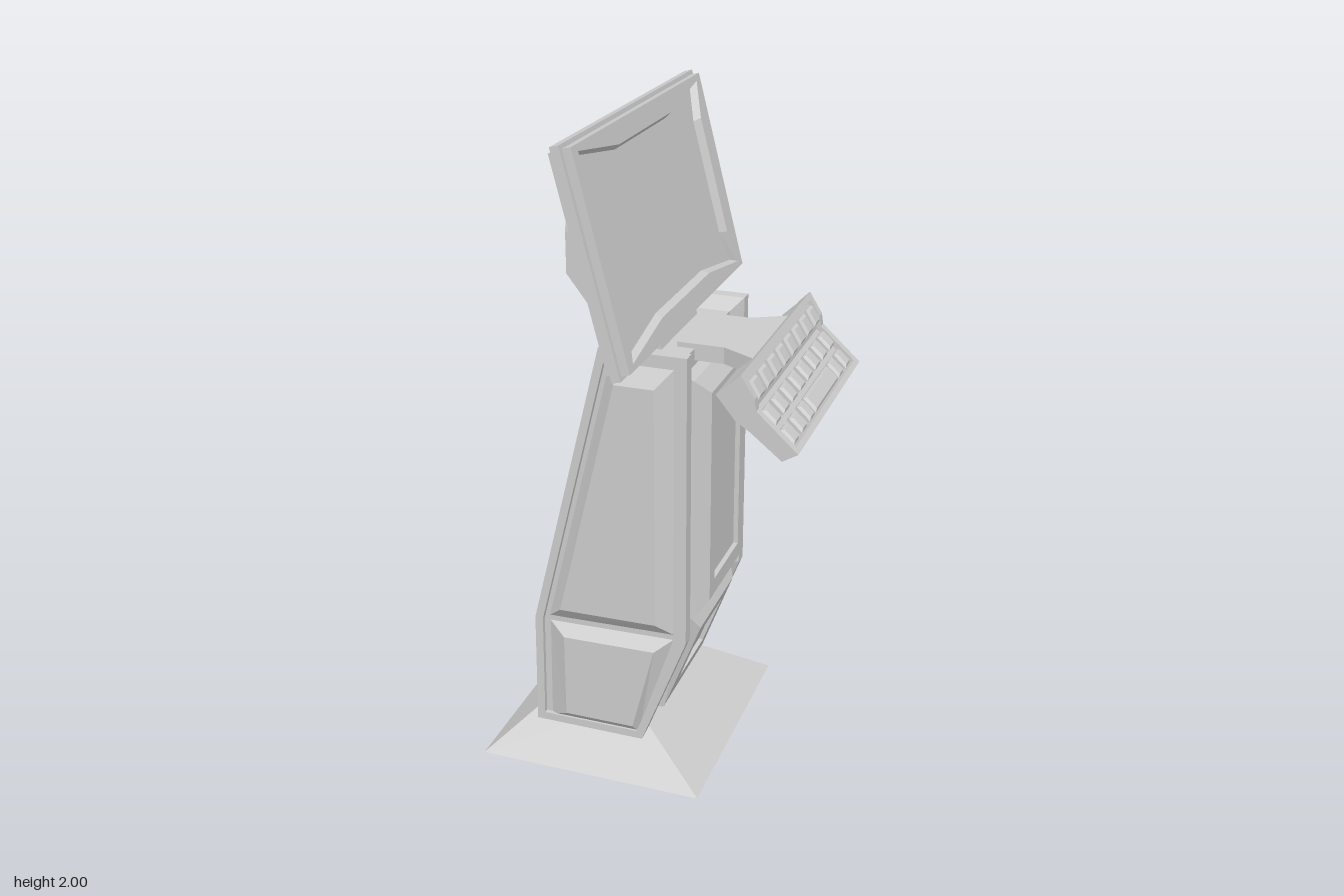
import * as THREE from 'three';

const material = new THREE.MeshStandardMaterial({ color: 0xcccccc, flatShading: true });

function addMesh(parent, name, geometry) {
  const mesh = new THREE.Mesh(geometry, material);
  mesh.name = name;
  parent.add(mesh);
  return mesh;
}

// Skin a stack of counter-clockwise outlines [points, height] and cap both ends
function loft(layers, mirror = false) {
  const out = [];
  const rings = layers.map(([pts, h]) => pts.map(([x, y]) => [x, y, mirror ? -h : h]));
  const tri = (a, b, c) => (mirror ? out.push(...a, ...c, ...b) : out.push(...a, ...b, ...c));
  const middle = (ring) => [0, 1, 2].map((k) => ring.reduce((s, p) => s + p[k], 0) / ring.length);
  const n = rings[0].length, first = rings[0], last = rings[rings.length - 1];
  const c0 = middle(first), c1 = middle(last);
  for (let i = 0; i < n; i++) {
    const j = (i + 1) % n;
    tri(c0, first[j], first[i]);
    tri(c1, last[i], last[j]);
    for (let r = 0; r + 1 < rings.length; r++) {
      const a = rings[r], b = rings[r + 1];
      tri(a[i], a[j], b[j]);
      tri(a[i], b[j], b[i]);
    }
  }
  const g = new THREE.BufferGeometry();
  g.setAttribute('position', new THREE.Float32BufferAttribute(out, 3));
  g.computeVertexNormals();
  return g;
}

// Move every edge of a convex outline inwards by d
function inset(pts, d) {
  const n = pts.length;
  const lines = pts.map(([x, y], i) => {
    const [x2, y2] = pts[(i + 1) % n];
    const l = Math.hypot(x2 - x, y2 - y);
    const nx = -(y2 - y) / l, ny = (x2 - x) / l;
    return [nx, ny, nx * x + ny * y + d];
  });
  return pts.map((_, i) => {
    const [a, b, c] = lines[(i + n - 1) % n], [e, f, g] = lines[i];
    const det = a * f - b * e;
    return [(c * f - b * g) / det, (a * g - c * e) / det];
  });
}

const rect = (x0, x1, y0, y1) => [[x0, y0], [x1, y0], [x1, y1], [x0, y1]];

function extrude(pts, depth) {
  const shape = new THREE.Shape(pts.map(([x, y]) => new THREE.Vector2(x, y)));
  return new THREE.ExtrudeGeometry(shape, { depth, bevelEnabled: false });
}

// Turn a part so that its local z faces +x, pitched up by tilt
function face(object, x, y, z, tilt) {
  object.rotation.set(0, Math.PI / 2, tilt, 'ZYX');
  object.position.set(x, y, z);
  return object;
}

function buildPedestal(group) {
  const foot = addMesh(group, 'footPlate', loft([
    [rect(-0.49, 0.22, -0.39, 0.39), 0], [rect(-0.3, -0.06, -0.2, 0.2), 0.17]]));
  foot.rotation.x = -Math.PI / 2;

  const side = [[-0.345, 0.1], [0.005, 0.1], [0.147, 0.47], [0.147, 1.38], [-0.115, 1.38], [-0.34, 0.47]];
  const inner = inset(side, 0.035);
  addMesh(group, 'column', loft([[inner, -0.22], [inner, 0.22]]));

  // Raised cushions within the rim of each side wall
  const lower = [[-0.31, 0.11], [-0.01, 0.11], [0.112, 0.475], [-0.305, 0.465]];
  const lowerFace = [[-0.24, 0.15], [-0.02, 0.15], [0.05, 0.43], [-0.24, 0.425]];
  const upper = [[-0.305, 0.47], [0.112, 0.48], [0.112, 1.345], [-0.09, 1.345]];
  const upperFace = [[-0.25, 0.52], [0.055, 0.525], [0.055, 1.28], [-0.065, 1.28]];
  for (const mirror of [false, true]) {
    const wall = new THREE.Group();
    wall.name = mirror ? 'rightSideWall' : 'leftSideWall';
    group.add(wall);
    const rim = inset(side, 0.025);
    addMesh(wall, 'wallFrame', loft(
      [[inner, 0.21], [side, 0.25], [side, 0.29], [rim, 0.29], [rim, 0.275]], mirror));
    addMesh(wall, 'lowerCushion', loft([[lower, 0.27], [lowerFace, 0.305]], mirror));
    addMesh(wall, 'upperCushion', loft([[upper, 0.27], [upperFace, 0.305]], mirror));
  }

  // Front panels with sunken centres
  const door = rect(-0.12, 0.12, 0.61, 1.19);
  face(addMesh(group, 'upperFrontPanel', loft([
    [rect(-0.21, 0.21, 0.5, 1.3), 0.1], [rect(-0.205, 0.205, 0.51, 1.28), 0.14],
    [rect(-0.165, 0.165, 0.56, 1.235), 0.18], [door, 0.18], [door, 0.165]])), 0, 0, 0, 0);
  const hatch = rect(-0.117, 0.117, -0.09, 0.09);
  face(addMesh(group, 'lowerFrontPanel', loft([
    [rect(-0.208, 0.208, -0.18, 0.2), -0.04],
    [[[-0.195, -0.16], [0.195, -0.16], [0.165, 0.15], [-0.165, 0.15]], 0.01],
    [hatch, 0.01], [hatch, -0.003]])), 0.09, 0.32, 0, -0.362);
}

function buildScreen(group) {
  // Rounded-top neck that bends back and up behind the screen
  const rows = [[1.33, -0.11, 0.03, 0.16], [1.37, -0.13, 0.02, 0.16], [1.54, -0.26, -0.085, 0.16]];
  for (let i = 0; i <= 12; i++) {
    const a = (i / 12) * 1.5;
    rows.push([1.66 + 0.11 * Math.sin(a), -0.26, -0.085, 0.16 * Math.cos(a)]);
  }
  const neck = addMesh(group, 'screenNeck', loft(rows.map(([y, xb, xf, w]) => [rect(xb, xf, -w, w), y])));
  neck.rotation.x = -Math.PI / 2;

  const screen = face(new THREE.Group(), -0.045, 1.69, 0, 0.25);
  screen.name = 'screen';
  group.add(screen);
  // Twelve-point outline: four corners, each with two points along the edges
  const outline = (cx, cy, tx, ty, sx, sy) => {
    const quarter = [[sx, sy], [cx, cy], [tx, ty]];
    const flip = (a, b) => quarter.map(([x, y]) => [x * a, y * b]);
    return [...quarter, ...flip(-1, 1).reverse(), ...flip(-1, -1), ...flip(1, -1).reverse()];
  };
  const bezel = outline(0.505, 0.305, 0.21, 0.305, 0.505, 0.18);
  const rim = outline(0.47, 0.287, 0.21, 0.245, 0.435, 0.18);
  const glass = outline(0.455, 0.275, 0.2, 0.232, 0.42, 0.175);
  addMesh(screen, 'backCover', loft([
    [rect(-0.505, 0.505, -0.3, 0.3), -0.033], [rect(-0.505, 0.505, -0.3, 0.3), -0.015]]));
  addMesh(screen, 'frame', loft([
    [rect(-0.52, 0.52, -0.317, 0.317), -0.018], [rect(-0.52, 0.52, -0.317, 0.317), 0.008]]));
  addMesh(screen, 'bezelAndGlass', loft([
    [bezel, 0.005], [bezel, 0.033], [rim, 0.033], [glass, 0.012]]));
}

function buildKeyboard(group) {
  const keyboard = new THREE.Group();
  keyboard.name = 'keyboard';
  keyboard.position.z = -0.008;
  group.add(keyboard);

  // Flared support arm
  const arm = addMesh(keyboard, 'supportArm', extrude([
    [0.06, -0.13], [0.2, -0.13], [0.3, -0.185], [0.3, 0.185], [0.2, 0.13], [0.06, 0.13]], 0.05));
  arm.rotation.x = -Math.PI / 2;
  arm.position.y = 1.31;

  // Bent tray with cheeks and lips around the keys
  const strip = (name, pts, z0, z1) => {
    addMesh(keyboard, name, extrude(pts, z1 - z0)).position.z = z0;
  };
  const under = [[0.285, 1.345], [0.243, 1.305], [0.3, 1.235], [0.44, 1.145]];
  strip('tray', [...under, [0.468, 1.162], [0.352, 1.272], [0.346, 1.312], [0.312, 1.367]], -0.34, 0.34);
  const cheek = [[0.285, 1.345], [0.31, 1.25], [0.44, 1.145],
    [0.485, 1.172], [0.365, 1.282], [0.36, 1.315], [0.32, 1.38]];
  strip('cheek', cheek, -0.363, -0.337);
  strip('cheek', cheek, 0.337, 0.363);
  strip('frontLip', [[0.44, 1.145], [0.485, 1.172], [0.472, 1.184], [0.44, 1.165]], -0.34, 0.34);
  strip('backLip', [[0.285, 1.345], [0.3, 1.335], [0.33, 1.364], [0.32, 1.38]], -0.34, 0.34);

  const addKey = (name, x, y, z, tilt, w, h) => {
    const outer = rect(-w / 2, w / 2, -h / 2, h / 2);
    face(addMesh(keyboard, name, loft([
      [outer, -0.016], [outer, 0], [inset(outer, 0.007), 0.008]])), x, y, z, tilt);
  };
  for (let i = 0; i < 8; i++) {
    const z = -0.301 + i * 0.0855;
    addKey('key', 0.346, 1.325, z, 0.55, 0.056, 0.056);
    addKey('key', 0.39, 1.25, z, 0.81, 0.056, 0.055);
    if (i < 2 || i > 4) addKey('key', 0.442, 1.199, z, 0.81, 0.05, 0.055);
  }
  addKey('spaceBar', 0.442, 1.199, -0.045, 0.81, 0.26, 0.055);
}

export function createModel() {
  const group = new THREE.Group();
  group.name = 'kiosk';
  buildPedestal(group);
  buildScreen(group);
  buildKeyboard(group);
  return group;
}
